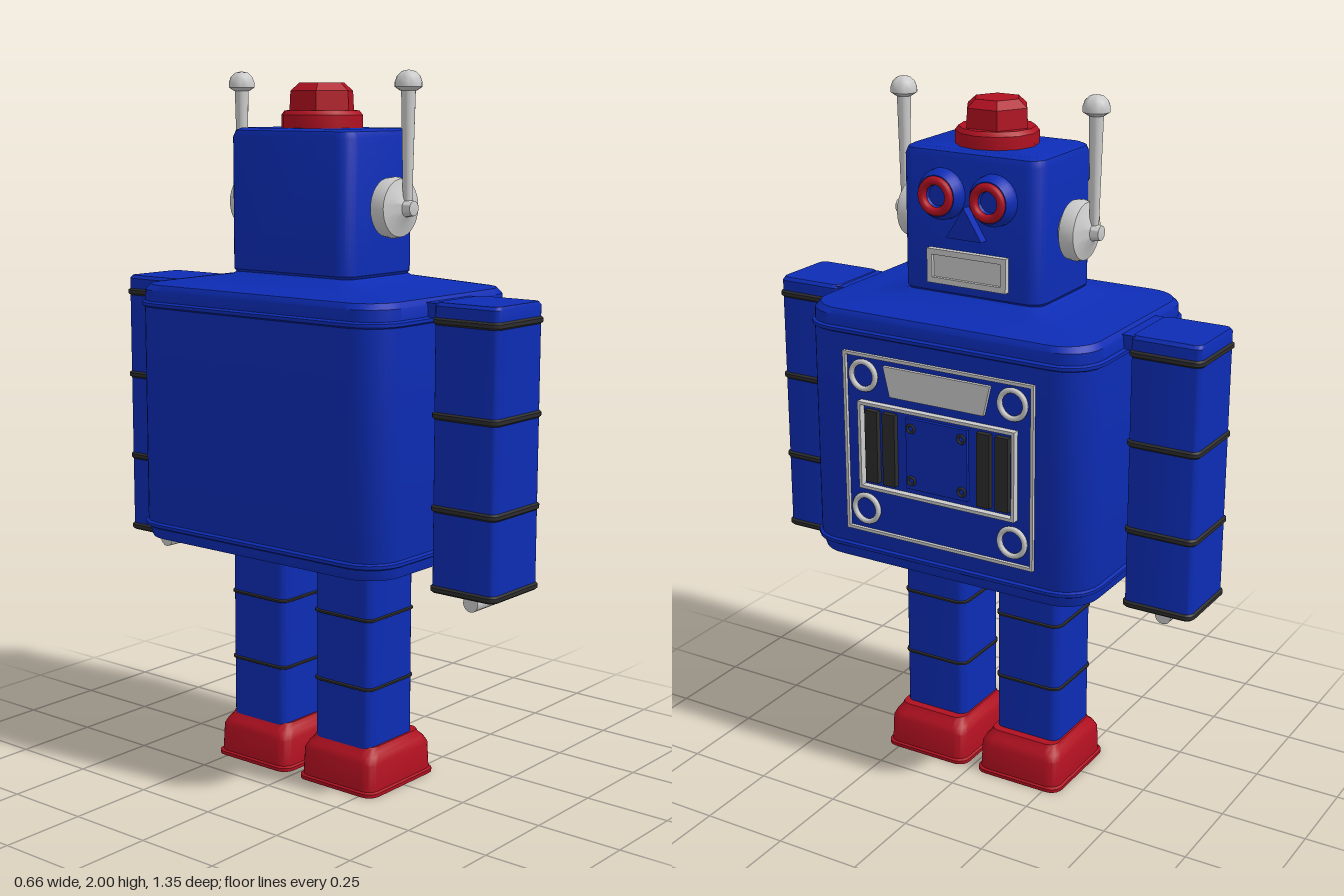
import * as THREE from 'three';
import { toCreasedNormals } from 'three/addons/utils/BufferGeometryUtils.js';

const mat = (color) => new THREE.MeshStandardMaterial({ color });
const BLUE = mat(0x0c2cb4), RED = mat(0xb01020), DARK = mat(0x2c2c2c), GREY = mat(0xcccccc);

// Rounded-rectangle cross-sections stacked upwards: [y, halfWidth, halfDepth, cornerRadius]
function loft(rings, seg = 5) {
  const pos = [], idx = [], n = 4 * (seg + 1);
  for (const [y, w, d, r] of rings) {
    for (let q = 0; q < 4; q++) {
      const sx = q === 0 || q === 3 ? 1 : -1, sz = q < 2 ? 1 : -1;
      for (let i = 0; i <= seg; i++) {
        const a = (q + i / seg) * Math.PI / 2;
        pos.push(sx * (w - r) + r * Math.cos(a), y, sz * (d - r) + r * Math.sin(a));
      }
    }
  }
  const last = (rings.length - 1) * n, c = rings.length * n;
  pos.push(0, rings[0][0], 0, 0, rings[rings.length - 1][0], 0);
  for (let j = 0; j < n; j++) {
    const k = (j + 1) % n;
    for (let i = 0; i < last; i += n) {
      idx.push(i + j, i + n + j, i + k, i + k, i + n + j, i + n + k);
    }
    idx.push(c, j, k, c + 1, last + k, last + j);
  }
  const g = new THREE.BufferGeometry();
  g.setAttribute('position', new THREE.Float32BufferAttribute(pos, 3));
  g.setIndex(idx);
  return toCreasedNormals(g, 0.6);
}

// Thin raised rim running round a rounded-rectangle section
const band = (y, w, d, r, h = 0.009, out = 0.008) => loft([
  [y - h, w, d, r], [y - h * 0.5, w + out, d + out, r + out],
  [y + h * 0.5, w + out, d + out, r + out], [y + h, w, d, r],
]);

const lathe = (points, sides = 32) => toCreasedNormals(
  new THREE.LatheGeometry(points.map(([r, y]) => new THREE.Vector2(r, y)), sides), 0.6);

const plate = (points, depth, hole) => {
  const shape = new THREE.Shape(points.map(([x, y]) => new THREE.Vector2(x, y)));
  if (hole) shape.holes.push(new THREE.Path(hole.map(([x, y]) => new THREE.Vector2(x, y))));
  return new THREE.ExtrudeGeometry(shape, { depth, bevelEnabled: false });
};
const rect = (w, y0, y1) => [[-w, y0], [w, y0], [w, y1], [-w, y1]];
const frame = (w, y0, y1, t, depth) => plate(rect(w, y0, y1), depth, rect(w - t, y0 + t, y1 - t));

function add(parent, name, geometry, material, x = 0, y = 0, z = 0) {
  const m = new THREE.Mesh(geometry, material);
  m.name = name;
  m.position.set(x, y, z);
  parent.add(m);
  return m;
}

function group(parent, name, x = 0, y = 0, z = 0) {
  const g = new THREE.Group();
  g.name = name;
  g.position.set(x, y, z);
  parent.add(g);
  return g;
}

function buildTorso(robot) {
  const torso = group(robot, 'torso', 0, 0, -0.01);
  add(torso, 'body', loft([
    [0.68, 0.437, 0.305, 0.1], [0.72, 0.445, 0.315, 0.1], [1.355, 0.445, 0.315, 0.1],
    [1.395, 0.442, 0.315, 0.1], [1.41, 0.43, 0.305, 0.1], [1.425, 0.33, 0.235, 0.09],
    [1.44, 0.22, 0.16, 0.05], [1.455, 0.2, 0.14, 0.04],
  ], 8), BLUE);
  for (const y of [0.72, 1.355]) add(torso, 'bodyRim', band(y, 0.445, 0.315, 0.1), BLUE);
}

function buildChestPanel(robot) {
  const p = group(robot, 'chestPanel', 0, 0, 0.303);
  add(p, 'outerFrame', frame(0.3, 0.775, 1.3, 0.009, 0.012), GREY);
  add(p, 'innerFrame', frame(0.248, 0.91, 1.165, 0.009, 0.022), GREY);
  add(p, 'display', plate([[-0.148, 1.19], [0.148, 1.19], [0.168, 1.275], [-0.168, 1.275]], 0.012), GREY);
  add(p, 'centrePlate', plate(rect(0.097, 0.935, 1.14), 0.012), BLUE);
  for (const s of [-1, 1]) {
    for (const y of [0.845, 1.237]) add(p, 'dialRing', new THREE.TorusGeometry(0.039, 0.008, 8, 28), GREY, s * 0.235, y, 0.008);
    for (const y of [0.96, 1.112]) add(p, 'rivet', new THREE.TorusGeometry(0.011, 0.004, 6, 16), DARK, s * 0.08, y, 0.013);
    for (const x of [0.15, 0.207]) add(p, 'ventBar', new THREE.BoxGeometry(0.04, 0.21, 0.022), DARK, s * x, 1.037, 0.008);
  }
}

function buildHead(robot) {
  const head = group(robot, 'head');
  add(head, 'skull', loft([
    [1.445, 0.21, 0.145, 0.04], [1.455, 0.217, 0.152, 0.045], [1.82, 0.217, 0.152, 0.045],
    [1.838, 0.21, 0.145, 0.04], [1.845, 0.195, 0.13, 0.03],
  ]), BLUE, 0, 0, -0.012);

  // Stepped cap lamp with a six-sided top
  add(head, 'capBase', lathe([[0, 1.84], [0.114, 1.84], [0.114, 1.88], [0.105, 1.892], [0, 1.892]], 12), RED, 0, 0, -0.01);
  add(head, 'capLamp', lathe([[0.095, 1.89], [0.092, 1.945], [0.066, 1.967], [0, 1.967]], 6), RED, 0, 0, -0.01)
    .rotation.y = Math.PI / 2;
  head.getObjectByName('capLamp').material.flatShading = false;

  // Face
  for (const s of [-1, 1]) {
    const side = s > 0 ? 'left' : 'right';
    const socket = add(head, side + 'EyeSocket', lathe([[0.07, 0], [0.068, 0.02], [0.056, 0.038], [0.035, 0.038], [0.028, 0.028], [0, 0.028]]),
      BLUE, s * 0.08, 1.725, 0.137);
    socket.rotation.x = Math.PI / 2;
    add(head, side + 'EyeRing', new THREE.TorusGeometry(0.042, 0.012, 10, 32), RED, s * 0.08, 1.725, 0.177);
  }
  const nose = plate([[-0.055, 1.613], [0.055, 1.613], [0, 1.7]], 0.03);
  add(head, 'nose', nose, BLUE, 0, 0, 0.137);
  add(head, 'mouthFrame', frame(0.123, 1.48, 1.575, 0.016, 0.02), GREY, 0, 0, 0.137);
  add(head, 'mouthPlate', plate(rect(0.115, 1.49, 1.565), 0.01), GREY, 0, 0, 0.137);

  // Ears and antennae
  for (const s of [-1, 1]) {
    const side = s > 0 ? 'left' : 'right';
    const ear = add(head, side + 'Ear', lathe([
      [0.05, 0], [0.055, 0.014], [0.08, 0.022], [0.083, 0.045], [0.078, 0.064],
      [0.045, 0.074], [0.024, 0.085], [0.02, 0.108], [0, 0.112],
    ]), GREY, s * 0.212, 1.635, -0.01);
    ear.rotation.z = -s * Math.PI / 2;
    add(head, side + 'Antenna', lathe([[0, 0], [0.012, 0], [0.02, 0.33], [0, 0.33]], 16), GREY, s * 0.298, 1.63, -0.01);
    add(head, side + 'AntennaKnob', lathe([
      [0, 1.945], [0.022, 1.945], [0.037, 1.955], [0.037, 1.967], [0.031, 1.984], [0.018, 1.996], [0, 2],
    ], 20), GREY, s * 0.298, 0, -0.01);
  }
}

function buildArm(robot, s) {
  const arm = group(robot, s > 0 ? 'leftArm' : 'rightArm', s * 0.566, 0, -0.01);
  const levels = [0.635, 0.855, 1.105, 1.355];
  add(arm, 'sleeve', loft([
    [0.63, 0.102, 0.108, 0.02], [1.355, 0.102, 0.108, 0.02],
    [1.395, 0.102, 0.108, 0.02], [1.404, 0.098, 0.1, 0.02],
  ]), BLUE);
  for (const y of levels) add(arm, 'armBand', band(y, 0.102, 0.108, 0.02, 0.01, 0.006), DARK);
  // Shoulder bridge into the body
  add(arm, 'shoulder', new THREE.BoxGeometry(0.16, 0.04, 0.2), BLUE, -s * 0.07, 1.381, 0);
  // Hand peg
  add(arm, 'handMount', new THREE.BoxGeometry(0.04, 0.04, 0.1), GREY, 0, 0.615, 0);
  add(arm, 'hand', new THREE.CylinderGeometry(0.024, 0.024, 0.125, 16), GREY, 0, 0.6, 0).rotation.x = Math.PI / 2;
}

function buildLeg(robot, s) {
  const leg = group(robot, s > 0 ? 'leftLeg' : 'rightLeg', s * 0.157, 0, -0.012);
  add(leg, 'shin', loft([[0.12, 0.102, 0.103, 0.025], [0.69, 0.102, 0.103, 0.025]]), BLUE);
  for (const y of [0.3, 0.5]) add(leg, 'legBand', band(y, 0.102, 0.103, 0.025, 0.005, 0.005), DARK);
  // Shoe with a recessed sole
  add(leg, 'foot', loft([
    [0.02, 0.12, 0.135, 0.03], [0, 0.125, 0.14, 0.03], [0, 0.138, 0.153, 0.035], [0.01, 0.138, 0.153, 0.035],
    [0.014, 0.132, 0.147, 0.035], [0.09, 0.13, 0.143, 0.035], [0.108, 0.122, 0.134, 0.035],
    [0.12, 0.112, 0.12, 0.03], [0.132, 0.108, 0.114, 0.03],
  ]), RED, 0, 0, 0.014);
}

export function createModel() {
  const model = new THREE.Group();
  model.name = 'toyRobot';
  // Parts are laid out facing +z, then turned to look along +x
  const robot = group(model, 'robot');
  robot.rotation.y = Math.PI / 2;
  buildTorso(robot);
  buildChestPanel(robot);
  buildHead(robot);
  for (const s of [-1, 1]) {
    buildArm(robot, s);
    buildLeg(robot, s);
  }
  return model;
}
